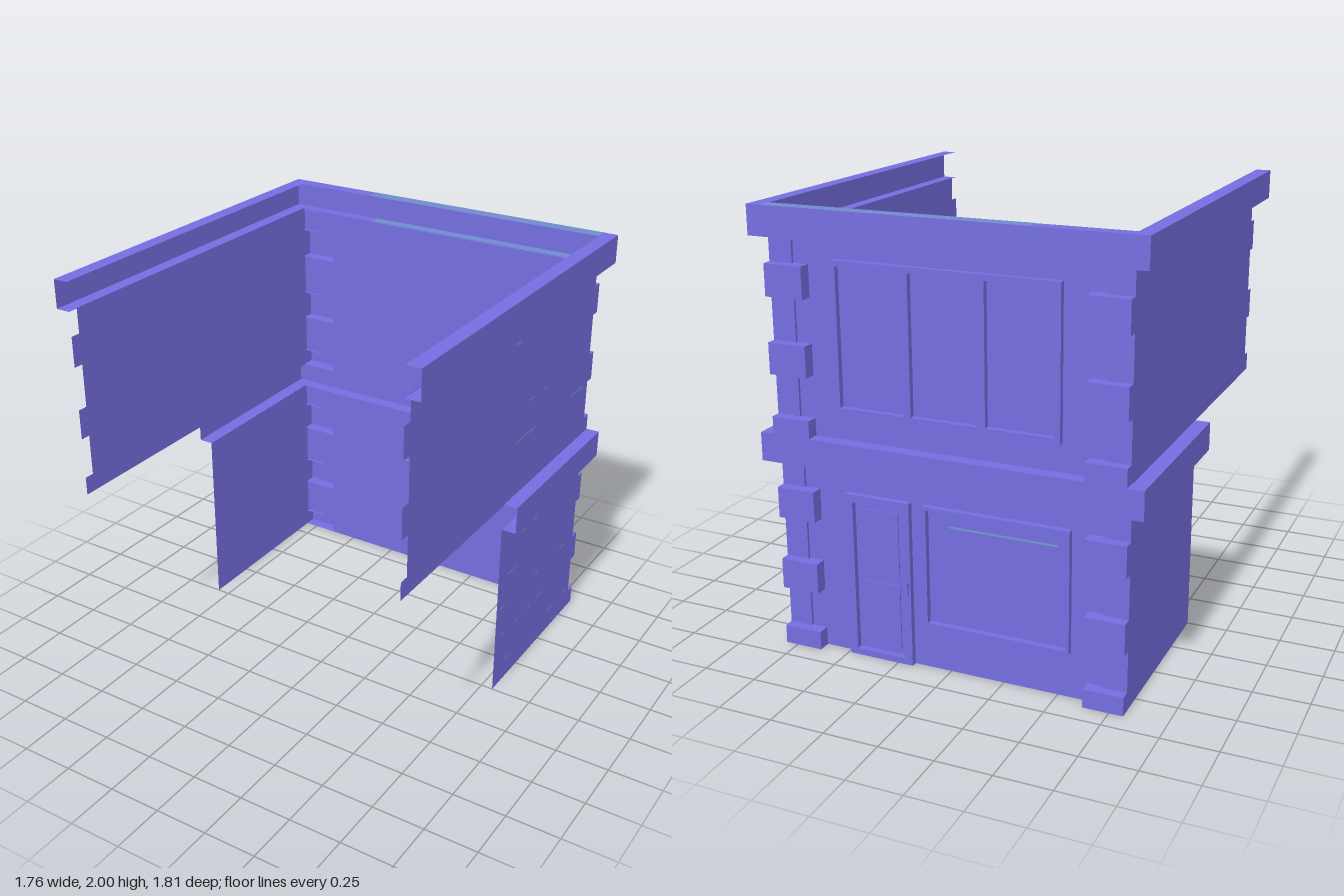
import * as THREE from 'three';

function flat(name, color) {
  const material = new THREE.MeshStandardMaterial({ color, side: THREE.DoubleSide });
  material.name = name;
  return material;
}
const paint = flat('violet paint', 0x756ee0);
const weathered = flat('weathered blue', 0x6f8ccc);
const brick = flat('teal brick mark', 0x6a9ccc);

// Planes of the back facade, from the wall outwards
const WALL = -0.845, STRIP = -0.858, FRAME = -0.872, QUOIN = -0.903;
const HALF = 0.81, STRIP_IN = 0.70, QUOIN_IN = 0.63;
const STONES = [[0, 0.085], [0.275, 0.415], [0.615, 0.757]];
const WALL_H = 0.872;
const SIDES = ['right', 'left', 'top', 'bottom', 'front', 'back'];

function add(group, name, geometry, material = paint) {
  const mesh = new THREE.Mesh(geometry, material);
  mesh.name = name;
  group.add(mesh);
}

// Box given by its limits, with the named sides left open
function shell(x0, x1, y0, y1, z0, z1, open = []) {
  const g = new THREE.BoxGeometry(Math.abs(x1 - x0), y1 - y0, z1 - z0);
  g.translate((x0 + x1) / 2, (y0 + y1) / 2, (z0 + z1) / 2);
  const index = Array.from(g.index.array);
  g.setIndex(index.filter((_, i) => !open.includes(SIDES[Math.floor(i / 6)])));
  g.clearGroups();
  return g;
}

function polygon(points) {
  return new THREE.Shape(points.map(([x, y]) => new THREE.Vector2(x, y)));
}

function rect(x0, x1, y0, y1) {
  return polygon([[x0, y0], [x1, y0], [x1, y1], [x0, y1]]);
}

// Edge that steps in and out with the corner stones, from bottom to top
function steppedEdge(stone, between) {
  const edge = [];
  STONES.forEach(([a, b]) => {
    if (a > 0) edge.push([between, a]);
    edge.push([stone, a], [stone, b], [between, b]);
  });
  edge.push([between, WALL_H]);
  return edge;
}

// Raised frame with rectangular openings
function frame(group, name, outer, openings) {
  const s = rect(...outer);
  openings.forEach(o => s.holes.push(rect(...o)));
  const g = new THREE.ExtrudeGeometry(s, { depth: WALL - FRAME, bevelEnabled: false });
  add(group, name, g.translate(0, 0, FRAME));
}

// Back wall, side walls and hollow corner stones of one storey
function storey(name, zFront) {
  const g = new THREE.Group();
  g.name = name;

  const right = steppedEdge(QUOIN_IN, STRIP_IN);
  const left = right.map(([x, y]) => [-x, y]).reverse();
  add(g, 'backWall', new THREE.ShapeGeometry(polygon([...right, ...left])).translate(0, 0, WALL));

  const backEdge = steppedEdge(QUOIN, STRIP);
  const frontEdge = zFront > 0 ? steppedEdge(0.905, 0.858) : [[zFront, 0], [zFront, WALL_H]];
  const side = polygon([...frontEdge, ...backEdge.reverse()]);

  for (const s of [1, -1]) {
    const outer = s > 0 ? 'right' : 'left';
    add(g, 'sideWall', new THREE.ShapeGeometry(side).rotateY(-Math.PI / 2).translate(s * HALF, 0, 0));
    STONES.forEach(([a, b], i) => {
      add(g, 'cornerStone', shell(s * QUOIN_IN, s * HALF, a, b, QUOIN, WALL, ['front', outer]));
      const next = i < STONES.length - 1 ? STONES[i + 1][0] : WALL_H;
      add(g, 'cornerStrip',
        shell(s * STRIP_IN, s * HALF, b, next, STRIP, WALL, ['front', outer, 'top', 'bottom']));
    });
  }
  return g;
}

// Channel-shaped moulding, open towards the inside
function cornice(name, y0, y1, zFront) {
  const g = new THREE.Group();
  g.name = name;
  const out = 0.878, zBack = -0.905, zIn = -0.84;
  add(g, 'backMoulding', shell(-out, out, y0, y1, zBack, zIn, ['front']));
  for (const s of [1, -1]) {
    add(g, 'sideMoulding', shell(s * HALF, s * out, y0, y1, zIn, zFront,
      ['front', 'back', s > 0 ? 'left' : 'right']));
  }
  return g;
}

export function createModel() {
  const model = new THREE.Group();
  model.name = 'buildingShell';

  // Ground floor, reaching half the depth
  const lower = storey('groundFloor', 0);
  lower.position.x = -0.003;
  frame(lower, 'shopWindowFrame', [-0.555, 0.115, 0.21, 0.765], [[-0.54, 0.10, 0.225, 0.75]]);
  frame(lower, 'doorFrame', [0.18, 0.49, 0, 0.765], [[0.215, 0.455, 0.03, 0.73]]);
  for (const [a, b] of [[0.06, 0.36], [0.40, 0.70]]) {
    add(lower, 'doorPanel', shell(0.245, 0.425, a, b, WALL - 0.006, WALL, ['front']));
  }
  add(lower, 'doorHandle', shell(0.19, 0.205, 0.34, 0.40, FRAME - 0.012, FRAME));
  model.add(lower);

  // Upper floor, full depth
  const upper = storey('upperFloor', 0.905);
  upper.position.set(0.002, 0.998, 0);
  frame(upper, 'upperWindowFrame', [-0.515, 0.505, 0.13, 0.79],
    [-0.34, 0, 0.335].map(x => [x - 0.152, x + 0.152, 0.155, 0.765]));
  model.add(upper);

  // Mouldings above each floor
  const band = cornice('floorBand', 0.873, 1.003, 0);
  band.position.x = -0.002;
  model.add(band);
  const roof = cornice('roofCornice', 1.867, 1.999, 0.905);
  roof.position.x = 0.002;
  model.add(roof);

  // Weathered strips on the back cornice: its top and its inner ledge
  for (const y of [2, 1.868]) {
    const strip = new THREE.PlaneGeometry(HALF + 0.4, 0.064).rotateX(-Math.PI / 2);
    add(model, 'corniceWeathering', strip.translate((HALF - 0.4) / 2, y, -0.872), weathered);
  }

  // Brick marks on the right wall: [z, y, length]
  const sideMarks = [[-0.05, 1.75, 0.05], [-0.22, 1.43, 0.05], [-0.36, 1.43, 0.03], [-0.18, 1.27, 0.2],
    [-0.73, 1.27, 0.14], [-0.23, 0.76, 0.05], [-0.36, 0.76, 0.03], [-0.13, 0.6, 0.1],
    [-0.04, 0.44, 0.06], [-0.41, 0.435, 0.04], [-0.71, 0.43, 0.07], [-0.06, 0.28, 0.03],
    [-0.22, 0.275, 0.04], [-0.34, 0.275, 0.05], [-0.47, 0.275, 0.08], [-0.12, 0.12, 0.04],
    [-0.61, 0.12, 0.09], [-0.79, 0.12, 0.04]];
  for (const [z, y, length] of sideMarks) {
    const mark = new THREE.PlaneGeometry(length, 0.01).rotateY(Math.PI / 2);
    add(model, 'brickMark', mark.translate(HALF + 0.0025, y, z), brick);
  }

  // Brick marks on the inside of the back wall: [x, y, length, wall plane]
  const backMarks = [[0.71, 1.73, 0.07, QUOIN], [0.735, 1.59, 0.05, STRIP], [0.585, 1.16, 0.06, WALL],
    [0.58, 0.73, 0.07, WALL], [-0.14, 0.59, 0.08, WALL], [0.59, 0.45, 0.06, WALL],
    [0.58, 0.165, 0.08, WALL]];
  for (const [x, y, length, plane] of backMarks) {
    add(model, 'brickMark', new THREE.PlaneGeometry(length, 0.01).translate(x, y, plane + 0.001), brick);
  }

  // Glint across the shop window
  add(model, 'windowGlint', new THREE.PlaneGeometry(0.5, 0.01).translate(-0.25, 0.68, WALL - 0.001), brick);
  return model;
}
